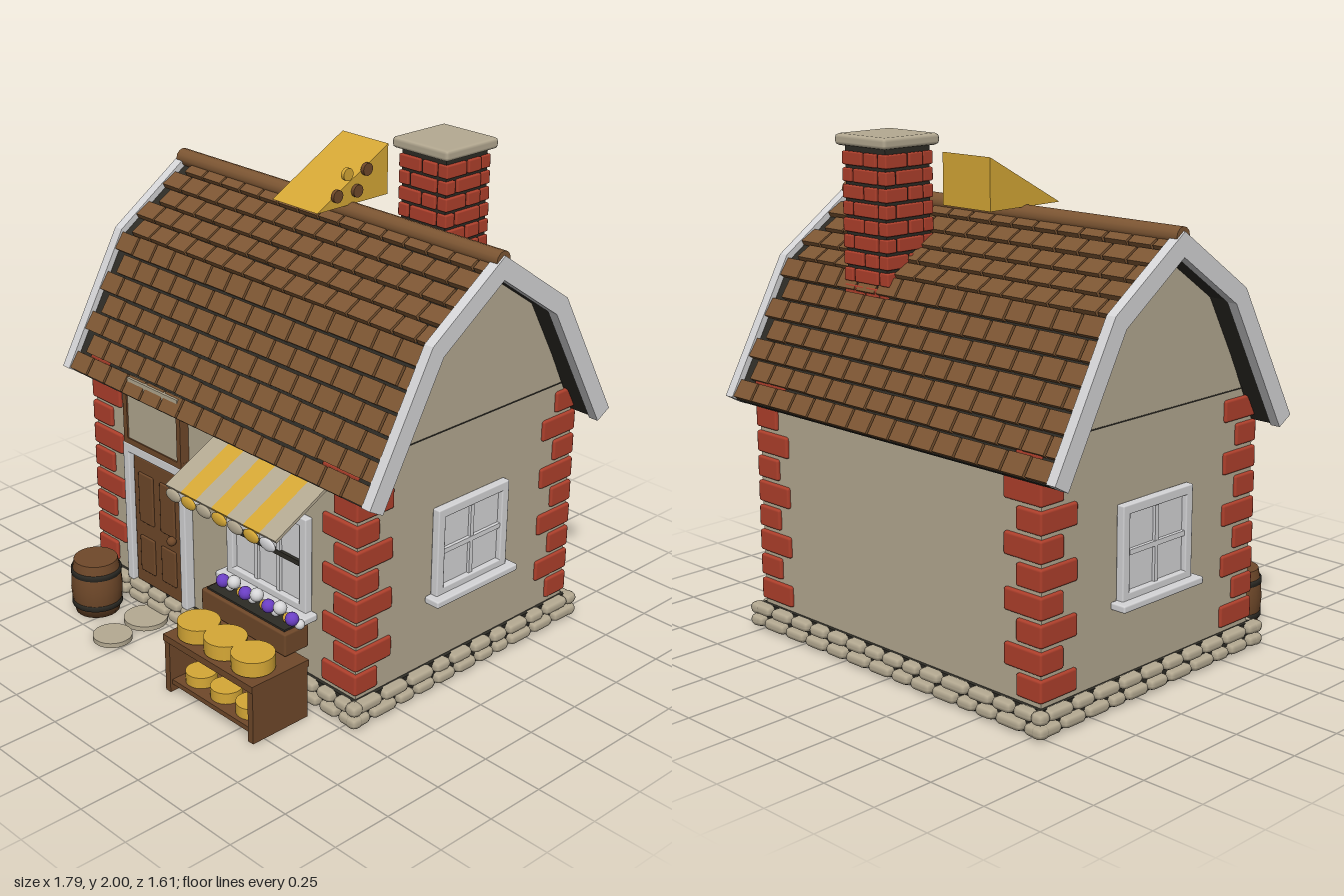
import * as THREE from 'three';
import { mergeGeometries } from 'three/addons/utils/BufferGeometryUtils.js';
import { RoundedBoxGeometry } from 'three/addons/geometries/RoundedBoxGeometry.js';

const paint = (name, color, side = THREE.FrontSide) => Object.assign(new THREE.MeshStandardMaterial({ color, side }), { name });

export function createModel() {
  const wall = paint('plaster and stone', 0xb5aa92, THREE.DoubleSide), brick = paint('brick red', 0xb0402c);
  const tile = paint('roof brown', 0x7d5633), wood = paint('wood brown', 0x70492a);
  const dark = paint('mortar dark', 0x2d2b25), white = paint('trim white', 0xd6d6d8);
  const yellow = paint('cheese yellow', 0xd6a836, THREE.DoubleSide), purple = paint('flower purple', 0x6b3fc4);

  const house = new THREE.Group();
  house.name = 'cottage';
  const ZC = -0.15, HX = 0.765, HZ = 0.585; // house centre in z and half sizes of the walls
  let seed = 7;
  const rand = () => (seed = (seed * 16807) % 2147483647) / 2147483647;

  const add = (name, geo, mat, parent = house) => {
    const m = new THREE.Mesh(geo, mat);
    m.name = name;
    parent.add(m);
    return m;
  };
  // Box from centre and size; r > 0 rounds the edges
  const boxGeo = (w, h, d, x, y, z, r = 0) =>
    (r ? new RoundedBoxGeometry(w, h, d, 1, r) : new THREE.BoxGeometry(w, h, d)).translate(x, y, z);
  const box = (name, mat, w, h, d, x, y, z, r = 0, parent = house) => add(name, boxGeo(w, h, d, x, y, z, r), mat, parent);
  const drum = (name, mat, r, h, x, y, z, parent = house) =>
    add(name, new THREE.CylinderGeometry(r, r, h, 24).translate(x, y, z), mat, parent);
  const ball = (name, mat, r, x, y, z) => add(name, new THREE.SphereGeometry(r, 14, 10).translate(x, y, z), mat);

  // Gambrel profile, moved inwards by d
  const EAVE = [0.65, 0.95], KNEE = [0.355, 1.48], RIDGE = 1.725;
  const profile = (d) => {
    const e = [EAVE[0] - 0.874 * d, EAVE[1] - 0.486 * d], k = [KNEE[0] - 0.763 * d, KNEE[1] - 0.686 * d];
    return [e, k, [0, RIDGE - 1.22 * d], [-k[0], k[1]], [-e[0], e[1]]];
  };
  // Extrude a (z, y) outline along x
  const slab = (pts, width, x = 0) => new THREE.ExtrudeGeometry(
    new THREE.Shape(pts.map((p) => new THREE.Vector2(...p))), { depth: width, bevelEnabled: false })
    .translate(0, 0, -width / 2).rotateY(-Math.PI / 2).translate(x, 0, ZC);
  const band = (d1, d2, width, x) => slab([...profile(d1), ...profile(d2).reverse()], width, x);

  // Walls with gables
  add('walls', slab([[-HZ, 0.08], [HZ, 0.08], [HZ, 0.92], ...profile(0.05).slice(1, 4), [-HZ, 0.92]], HX * 2), wall);
  for (const s of [-1, 1]) box('gableSeam', dark, 0.004, 0.005, 1.03, s * HX, 1.06, ZC);

  // Stone footing: dark core and two courses of rounded stones
  box('footing', dark, 1.56, 0.1, 1.2, 0, 0.052, ZC);
  const stones = [];
  for (const [row, y] of [0.029, 0.081].entries()) {
    for (const s of [-1, 1]) {
      for (const [half, off, alongX] of [[0.8, HZ + 0.025, true], [0.62, HX + 0.02, false]]) {
        let p = -half + row * 0.03;
        while (p < half - 0.03) {
          const len = Math.min(0.085 + rand() * 0.06, half - p), c = p + len / 2, l = len - 0.012;
          stones.push(alongX ? boxGeo(l, 0.046, 0.055, c, y, ZC + s * off, 0.02)
            : boxGeo(0.055, 0.046, l, s * off, y, ZC + c, 0.02));
          p += len;
        }
      }
      for (const t of [-1, 1]) stones.push(boxGeo(0.06, 0.05, 0.06, s * 0.785, y, ZC + t * 0.61, 0.022));
    }
  }
  add('footingStones', mergeGeometries(stones), wall);

  // Interlocked corner bricks
  const quoins = [];
  for (const sx of [-1, 1]) for (const sz of [-1, 1]) for (let k = 0; k < 9; k++) {
    const wide = (k % 2 === 0) === (sx > 0), w = wide ? 0.185 : 0.125, d = wide ? 0.12 : 0.19;
    quoins.push(boxGeo(w, 0.087, d, sx * (HX + 0.012 - w / 2), 0.165 + 0.1025 * k, ZC + sz * (HZ + 0.014 - d / 2), 0.01));
  }
  add('cornerBricks', mergeGeometries(quoins), brick);

  // Roof underlay, white verge boards, ridge
  add('roofUnderlay', band(0.02, 0.06, 1.7, 0), dark);
  for (const s of [-1, 1]) add('vergeBoard', band(-0.005, 0.07, 0.042, s * 0.872), white);
  add('ridge', new THREE.CylinderGeometry(0.036, 0.036, 1.77, 12).rotateZ(Math.PI / 2).translate(0, 1.712, ZC), tile);

  // Roof tiles in staggered rows, same rows turned round for the back
  const tiles = [], pitch = 1.71 / 15;
  let row = 0;
  for (const [a, b, n] of [[EAVE, KNEE, 7], [KNEE, [0, RIDGE], 5]]) {
    const dz = b[0] - a[0], dy = b[1] - a[1], len = Math.hypot(dz, dy), tilt = Math.atan2(dz, dy);
    for (let i = 0; i < n; i++, row++) {
      const t = (i + 0.5) / n, shift = (row % 2) * pitch / 2;
      for (let j = 0; j < 15; j++) {
        const x0 = -0.855 + shift + j * pitch, w = Math.min(pitch, 0.855 - x0);
        const g = new THREE.BoxGeometry(w - 0.011, len / n - 0.007 - rand() * 0.006, 0.022);
        g.translate(0, 0, -0.012).rotateX(tilt - 0.09);
        tiles.push(g.translate(x0 + w / 2, a[1] + dy * t, a[0] + dz * t));
      }
    }
  }
  const tileGeo = mergeGeometries(tiles);
  for (const turn of [0, Math.PI]) {
    const m = add(turn ? 'backTiles' : 'frontTiles', tileGeo, tile);
    m.position.z = ZC;
    m.rotation.y = turn;
  }

  // Chimney: dark core, pinwheel courses of brick, stone cap
  const chimney = new THREE.Group();
  chimney.name = 'chimney';
  chimney.position.set(0.345, 0, -0.415);
  house.add(chimney);
  box('chimneyCore', dark, 0.225, 0.6, 0.225, 0, 1.66, 0, 0, chimney);
  const courses = [];
  for (let k = 0; k < 9; k++) for (let side = 0; side < 4; side++) {
    let p = -0.125;
    for (const l of k % 2 ? [0.06, 0.14] : [0.12, 0.08]) {
      courses.push(boxGeo(l - 0.01, 0.052, 0.05, p + l / 2, 1.4 + k * 0.0635, 0.1, 0.006).rotateY(side * Math.PI / 2));
      p += l;
    }
  }
  add('chimneyBricks', mergeGeometries(courses), brick, chimney);
  box('chimneyCap', wall, 0.285, 0.045, 0.285, 0, 1.977, 0, 0.015, chimney);

  // Cheese wedge on the ridge with hole discs on its side
  add('cheeseWedge', slab([[0.18, 1.74], [-0.19, 1.94], [-0.19, 1.74]], 0.25, -0.005), yellow);
  for (const [z, y, m] of [[-0.065, 1.79, wood], [-0.17, 1.79, wood], [-0.22, 1.865, wood], [-0.117, 1.865, yellow]]) {
    add('cheeseHole', new THREE.CylinderGeometry(0.025, 0.025, 0.016, 16).rotateZ(Math.PI / 2).translate(0.127, y, z), m);
  }

  // Window facing +z, centred on its own origin
  const makeWindow = (w, h, cols) => {
    const g = new THREE.Group(), f = 0.038;
    g.name = 'window';
    box('windowPane', white, w - f, h - f, 0.012, 0, 0, 0.006, 0, g);
    for (const s of [-1, 1]) {
      box('windowStile', white, f, h, 0.035, s * (w - f) / 2, 0, 0.016, 0.006, g);
      box('windowRail', white, w, f, 0.035, 0, s * (h - f) / 2, 0.016, 0.006, g);
    }
    for (let i = 1; i < cols; i++) box('windowBar', white, 0.018, h - f, 0.024, (i / cols - 0.5) * (w - 2 * f), 0, 0.012, 0, g);
    box('crossBar', cols > 2 ? dark : white, w - 2 * f, 0.02, 0.026, 0, 0, 0.013, 0, g);
    box('windowSill', white, w + 0.06, 0.03, 0.07, 0, -h / 2 - 0.005, 0.033, 0.008, g);
    house.add(g);
    return g;
  };
  for (const s of [-1, 1]) {
    const g = makeWindow(0.39, 0.37, 2);
    g.position.set(s * HX, 0.575, ZC);
    g.rotation.y = s * Math.PI / 2;
  }
  const FZ = ZC + HZ; // front wall plane
  makeWindow(0.45, 0.4, 3).position.set(0.305, 0.57, FZ);

  // Door with frame, panels and knob
  for (const x of [-0.526, -0.179]) box('doorJamb', white, 0.038, 0.625, 0.045, x, 0.412, FZ + 0.02, 0.006);
  box('doorLintel', white, 0.385, 0.042, 0.045, -0.3525, 0.705, FZ + 0.02, 0.006);
  box('doorGap', dark, 0.31, 0.59, 0.008, -0.3525, 0.39, FZ + 0.004);
  box('door', wood, 0.3, 0.57, 0.024, -0.3525, 0.388, FZ + 0.012, 0.006);
  for (const x of [-0.42, -0.285]) for (const [y, h] of [[0.5, 0.22], [0.245, 0.16]])
    box('doorPanel', wood, 0.09, h, 0.012, x, y, FZ + 0.027, 0.005);
  ball('doorKnob', wood, 0.02, -0.25, 0.38, FZ + 0.04);

  // Sign board over the door
  box('signBoard', wall, 0.31, 0.28, 0.03, -0.352, 0.872, FZ + 0.022);
  for (const x of [-0.52, -0.185]) box('signPost', wood, 0.024, 0.25, 0.042, x, 0.85, FZ + 0.022);
  box('signRail', wood, 0.36, 0.024, 0.042, -0.3525, 0.738, FZ + 0.022);

  // Wall lantern
  box('lanternGlass', white, 0.065, 0.105, 0.05, -0.088, 0.672, 0.48, 0.008);
  add('lanternCap', new THREE.CylinderGeometry(0.02, 0.046, 0.026, 12).translate(-0.088, 0.738, 0.48), dark);
  drum('lanternTip', dark, 0.014, 0.03, -0.088, 0.765, 0.48);
  box('lanternArm', dark, 0.02, 0.02, 0.05, -0.088, 0.745, 0.455);

  // Striped awning with hanging scallops
  const slope = Math.atan2(0.13, 0.25);
  for (let i = 0; i < 7; i++) {
    const m = i % 2 ? yellow : wall, x = 0.045 + i * 0.0878;
    add('awningStripe', new THREE.BoxGeometry(0.0878, 0.012, 0.282).rotateX(slope).translate(x, 0.858, 0.565), m);
    add('awningScallop', new THREE.SphereGeometry(1, 14, 8).scale(0.043, 0.025, 0.01).translate(x, 0.768, 0.692), i === 6 ? white : m);
  }

  // Flower box
  box('flowerBox', wood, 0.48, 0.095, 0.12, 0.31, 0.297, 0.53, 0.008);
  box('flowerSoil', dark, 0.44, 0.02, 0.09, 0.31, 0.342, 0.53);
  for (let i = 0; i < 7; i++) {
    const x = 0.148 + i * 0.0652;
    ball('flower', i % 2 ? white : purple, 0.027, x, i % 2 ? 0.412 : 0.392, 0.545);
    ball('bud', i % 2 ? yellow : white, 0.02, x + 0.02, 0.37, 0.525);
  }

  // Market stall with cheese wheels
  box('stallTop', wood, 0.51, 0.028, 0.28, 0.36, 0.232, 0.67);
  box('stallShelf', wood, 0.45, 0.02, 0.25, 0.36, 0.042, 0.67);
  for (const x of [0.122, 0.598]) box('stallSide', wood, 0.028, 0.22, 0.27, x, 0.11, 0.67);
  for (let i = -1; i <= 1; i++) {
    drum('cheeseWheel', yellow, 0.083, 0.06, 0.36 + i * 0.154, 0.282, 0.715);
    drum('smallCheese', yellow, 0.062, 0.045, 0.36 + i * 0.145, 0.075, 0.715);
  }

  // Barrel with hoops
  const at = (pts) => new THREE.LatheGeometry(pts.map((p) => new THREE.Vector2(...p)), 24).translate(-0.57, 0, 0.62);
  add('barrel', at([[0, 0], [0.09, 0], [0.102, 0.06], [0.106, 0.115], [0.102, 0.17], [0.09, 0.235], [0.09, 0.235], [0, 0.235]]), wood);
  for (const [y, r] of [[0.045, 0.104], [0.185, 0.104]]) add('barrelHoop', at([[r - 0.01, y - 0.011], [r, y - 0.011], [r, y + 0.011], [r - 0.01, y + 0.011]]), dark);

  // Stepping stones
  drum('steppingStone', wall, 0.09, 0.02, -0.352, 0.01, 0.54);
  drum('steppingStone', wall, 0.08, 0.02, -0.333, 0.01, 0.725);
  return house;
}
